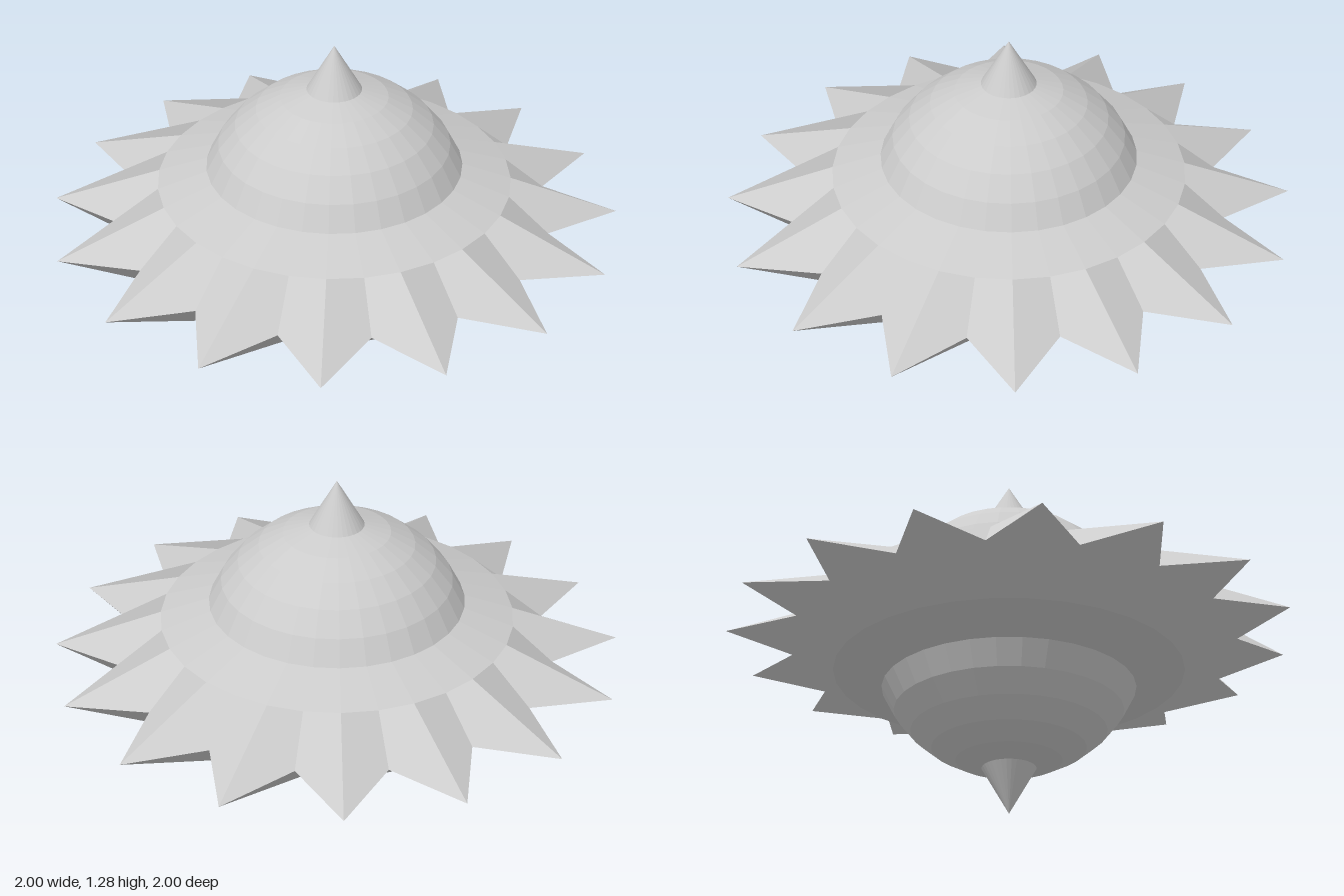
import * as THREE from 'three';

const SEGMENTS = 32; // two columns per spike: ridge and valley
const CENTRE_Y = 0.64;
const R = 0.485; // body radius
const STEP = Math.PI / 16; // height of one latitude band

// One even normal for every four-sided facet of a lathe.
function facetQuads(lathe) {
  const geo = lathe.toNonIndexed();
  const pos = geo.attributes.position;
  const normal = geo.attributes.normal;
  const [a, b, c, sum] = Array.from({ length: 4 }, () => new THREE.Vector3());
  for (let q = 0; q < pos.count; q += 6) {
    sum.set(0, 0, 0);
    for (let t = q; t < q + 6; t += 3) {
      a.fromBufferAttribute(pos, t);
      b.fromBufferAttribute(pos, t + 1).sub(a);
      c.fromBufferAttribute(pos, t + 2).sub(a);
      sum.add(b.cross(c));
    }
    sum.normalize();
    for (let i = q; i < q + 6; i++) normal.setXYZ(i, sum.x, sum.y, sum.z);
  }
  return geo;
}

// Double-cone rim whose outer edge is pulled in at every other column.
function spikedRimGeometry() {
  const inner = [R * Math.sin(6 * STEP), R * Math.cos(6 * STEP)];
  const profile = [
    [inner[0], -inner[1]], [0.62, -0.13], [1, 0], [0.62, 0.13], inner,
  ].map(([r, y]) => new THREE.Vector2(r, y));
  const lathe = new THREE.LatheGeometry(profile, SEGMENTS);
  const pos = lathe.attributes.position;
  const valley = 0.765;
  for (let col = 1; col < SEGMENTS; col += 2) {
    const i = col * profile.length + 2;
    pos.setX(i, pos.getX(i) * valley);
    pos.setZ(i, pos.getZ(i) * valley);
  }
  return facetQuads(lathe);
}

export function createModel() {
  const model = new THREE.Group();
  const material = new THREE.MeshStandardMaterial({ color: 0xcccccc, flatShading: true });
  const rimMaterial = new THREE.MeshStandardMaterial({ color: 0xcccccc });

  const rim = new THREE.Mesh(spikedRimGeometry(), rimMaterial);
  rim.name = 'spikedRim';
  rim.position.y = CENTRE_Y;
  model.add(rim);

  // Dome and pointed tip, then the same turned over for the underside
  const domeGeo = new THREE.SphereGeometry(R, SEGMENTS, 5, 0, Math.PI * 2, STEP, 5 * STEP);
  const tipBase = R * Math.cos(STEP);
  const tipHeight = 0.64 - tipBase;
  const tipGeo = new THREE.ConeGeometry(R * Math.sin(STEP), tipHeight, SEGMENTS, 1, true);
  tipGeo.translate(0, tipBase + tipHeight / 2, 0);

  for (const side of ['upper', 'lower']) {
    const half = new THREE.Group();
    half.name = side + 'Body';
    const dome = new THREE.Mesh(domeGeo, material);
    dome.name = side + 'Dome';
    const tip = new THREE.Mesh(tipGeo, material);
    tip.name = side + 'Tip';
    half.add(dome, tip);
    half.position.y = CENTRE_Y;
    if (side === 'lower') half.rotation.x = Math.PI;
    model.add(half);
  }
  return model;
}
